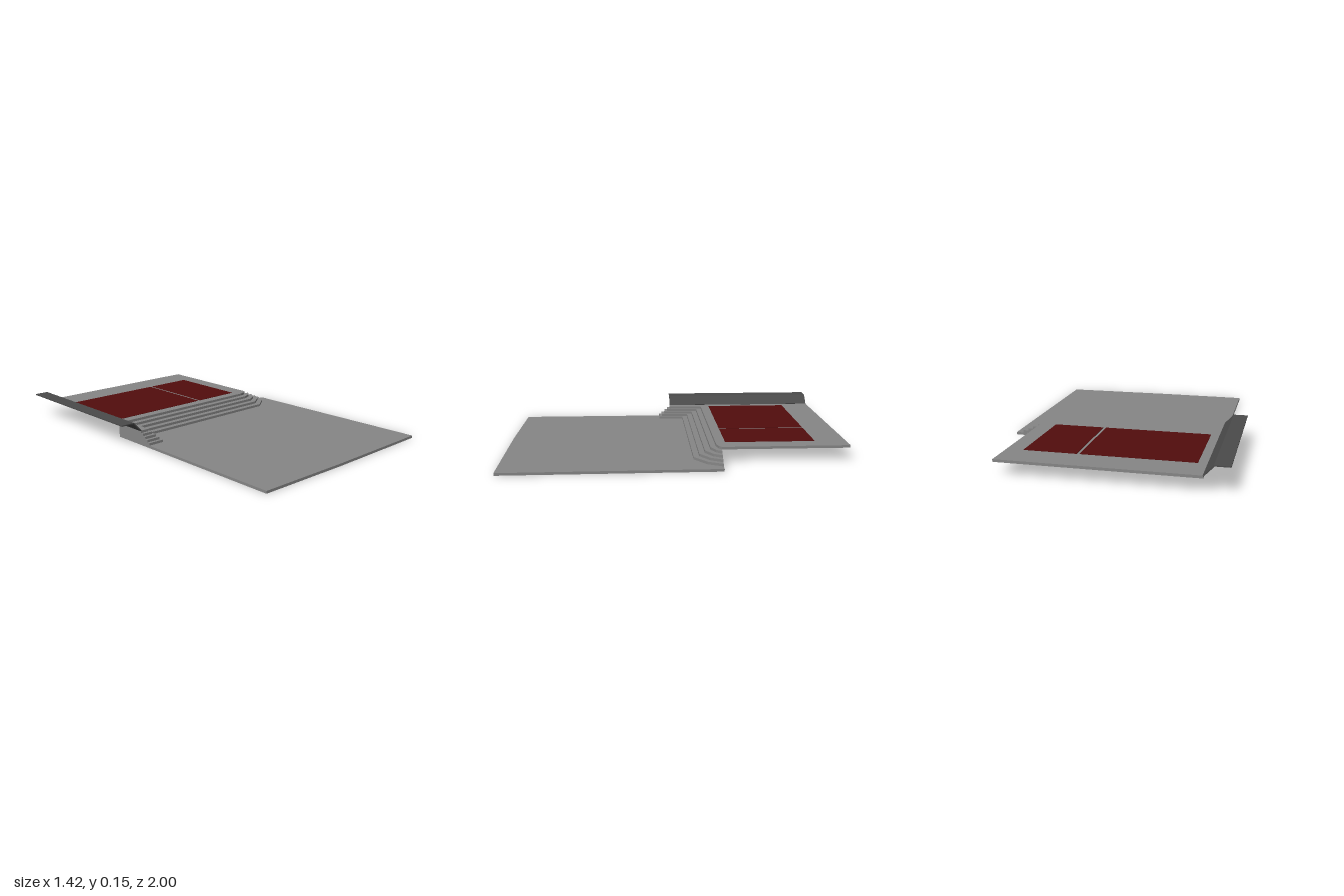
import * as THREE from 'three';

const STEP = 0.015;
const BACK = -0.235;

export function createModel() {
  const model = new THREE.Group();
  const mat = (name, color) => {
    const m = new THREE.MeshStandardMaterial({ color });
    m.name = name;
    return m;
  };
  const concrete = mat('concrete grey', 0x868686);
  const dark = mat('dark grey', 0x4a4a4a);
  const red = mat('dark red', 0x520d0d);

  // Flat slab from a plan outline of [x, z] points
  const slab = (name, plan, y, height, material) => {
    const shape = new THREE.Shape(plan.map(([x, z]) => new THREE.Vector2(x, -z)));
    const geo = new THREE.ExtrudeGeometry(shape, { depth: height, bevelEnabled: false });
    geo.rotateX(-Math.PI / 2);
    const mesh = new THREE.Mesh(geo, material);
    mesh.name = name;
    mesh.position.y = y;
    model.add(mesh);
  };

  // Front edge of a level: t = 0 at the top, 1 at the lowest step
  const frontEdge = (t) => {
    const mix = (a, b) => THREE.MathUtils.lerp(a, b, t);
    const sideZ = mix(-0.015, 0.06);
    const innerX = mix(-0.527, -0.477);
    const frontZ = mix(-0.233, -0.1);
    return [
      [-0.58, sideZ], [innerX, sideZ], [innerX, frontZ],
      [mix(0.46, 0.515), frontZ],
      [mix(0.505, 0.61), mix(-0.245, -0.17)],
      [mix(0.525, 0.655), mix(-0.26, -0.255)],
    ];
  };

  // Lower terrace
  slab('lowerTerrace', [
    [-0.58, 0.992], [0, 1], [0.71, 0.992], [0.7, -0.255], [0.525, -0.26], [-0.58, BACK],
  ], 0, STEP, concrete);

  // Steps, stacked from the lowest up
  for (let i = 4; i >= 1; i--) {
    slab('step' + (5 - i), [...frontEdge(i / 4), [0.525, -0.26], [-0.58, BACK]],
      (5 - i) * STEP, STEP, concrete);
  }

  // Upper terrace
  slab('upperTerrace', [...frontEdge(0), [0.525, -1], [-0.58, -1]], 5 * STEP, STEP, concrete);

  // Two painted floor panels
  for (const [name, x0, x1] of [['largePanel', -0.527, 0.108], ['smallPanel', 0.124, 0.426]]) {
    slab(name, [[x0, -0.29], [x1, -0.29], [x1, -0.815], [x0, -0.815]], 6 * STEP, 0.002, red);
  }

  // Bent edge strip: a slope rising to a flat ledge
  const profile = new THREE.Shape([
    [-0.715, 0.141], [-0.635, 0.141], [-0.582, 0.086],
    [-0.577, 0.091], [-0.63, 0.147], [-0.715, 0.147],
  ].map(([x, y]) => new THREE.Vector2(x, y)));
  const strip = new THREE.Mesh(
    new THREE.ExtrudeGeometry(profile, { depth: 0.985, bevelEnabled: false }), dark);
  strip.name = 'edgeStrip';
  strip.position.z = -1;
  model.add(strip);

  return model;
}
